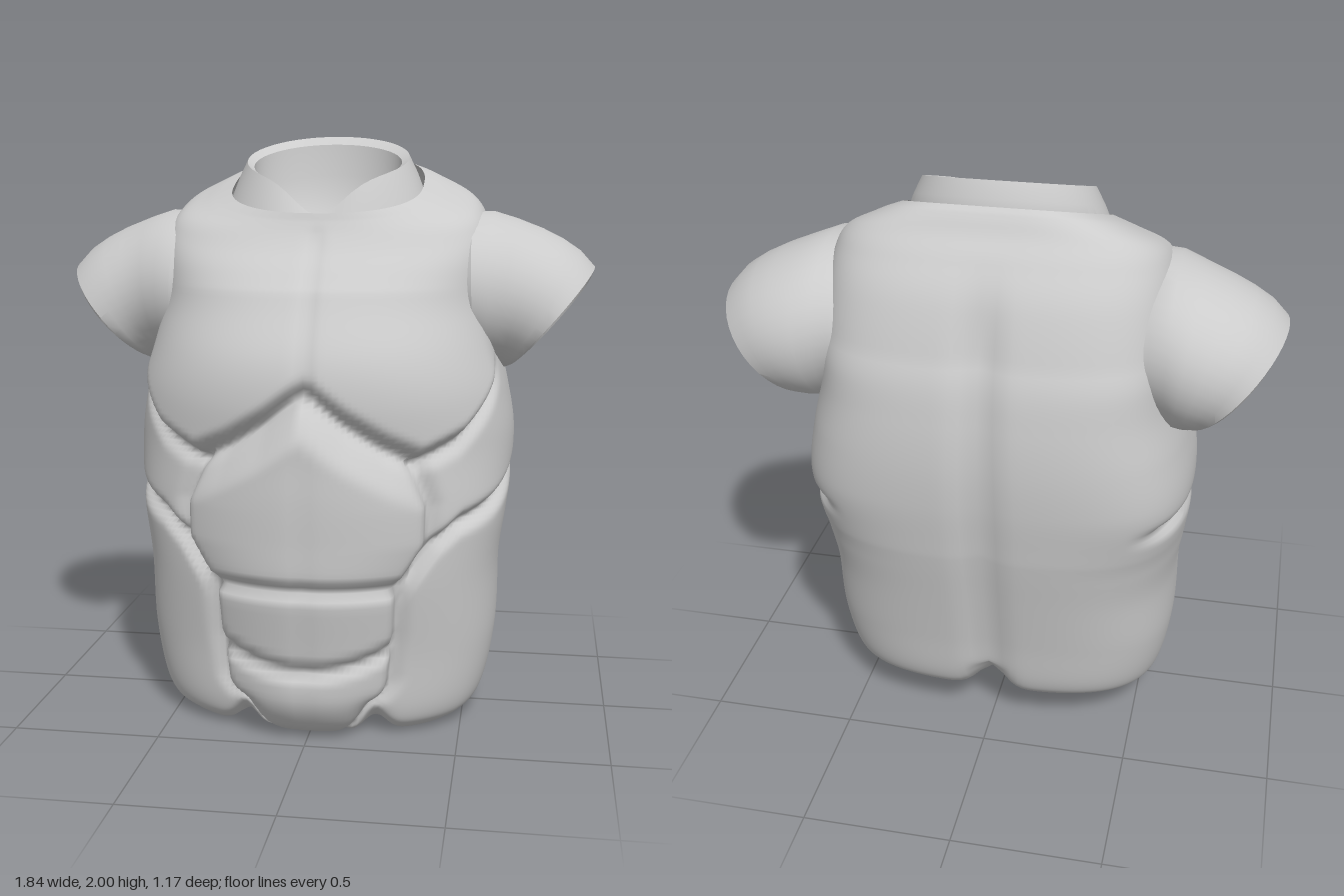
import * as THREE from 'three';
import { toCreasedNormals } from 'three/addons/utils/BufferGeometryUtils.js';

const material = new THREE.MeshStandardMaterial({ color: 0xcccccc, side: THREE.DoubleSide });
const { smoothstep, clamp, lerp } = THREE.MathUtils;
const bell = (d, w) => Math.exp(-((d / w) ** 2));
const spow = (v, e) => Math.sign(v) * Math.abs(v) ** e;

// Piecewise linear lookup in [key, value] pairs
function lookup(table, k) {
  if (k <= table[0][0]) return table[0][1];
  for (let i = 1; i < table.length; i++) {
    const [k0, v0] = table[i - 1], [k1, v1] = table[i];
    if (k <= k1) return lerp(v0, v1, (k - k0) / (k1 - k0));
  }
  return table[table.length - 1][1];
}

// Closed rings joined into a skin; point(row, angle) gives [x, y, z]
function loft(rows, cols, point) {
  const pos = [], index = [];
  for (let r = 0; r < rows; r++) {
    for (let c = 0; c < cols; c++) {
      pos.push(...point(r, (c / cols) * Math.PI * 2));
      if (r === rows - 1) continue;
      const a = r * cols + c, b = r * cols + ((c + 1) % cols);
      index.push(a, b, b + cols, a, b + cols, a + cols);
    }
  }
  const g = new THREE.BufferGeometry();
  g.setAttribute('position', new THREE.Float32BufferAttribute(pos, 3));
  g.setIndex(index);
  g.computeVertexNormals();
  return g;
}

function part(name, geometry) {
  const m = new THREE.Mesh(geometry, material);
  m.name = name;
  return m;
}

// Torso sections: height, half width, front z, back z
const SECTIONS = [
  [0.07, 0, 0.02, 0.02], [0.045, 0.25, 0.2, -0.2], [0.005, 0.42, 0.33, -0.32],
  [0.03, 0.51, 0.39, -0.39], [0.1, 0.57, 0.42, -0.43], [0.3, 0.608, 0.44, -0.465],
  [0.55, 0.613, 0.485, -0.51], [0.72, 0.635, 0.495, -0.54], [0.85, 0.65, 0.5, -0.56],
  [1.0, 0.655, 0.5, -0.58], [1.15, 0.63, 0.51, -0.588], [1.3, 0.595, 0.495, -0.58],
  [1.45, 0.58, 0.43, -0.555], [1.6, 0.57, 0.35, -0.49], [1.69, 0.55, 0.285, -0.42],
  [1.745, 0.51, 0.25, -0.37], [1.785, 0.42, 0.23, -0.342], [1.82, 0.33, 0.215, -0.315],
];
// Muscle borders: angle from the front in degrees against height
const PEC = [[0, 1.2], [14, 1.1], [28, 1.02], [40, 0.97], [55, 1.03], [76, 1.2], [90, 1.3]];
const RIB = [[36, 0.5], [41, 0.61], [47, 0.69], [55, 0.75], [70, 0.79], [90, 0.86], [110, 0.9], [130, 0.9]];
const ABS = [[0, 17], [0.08, 27], [0.2, 35], [0.35, 36], [0.55, 35], [0.7, 44], [0.82, 44], [0.95, 40], [1.2, 36]];

// How far the muscles swell or sink at a point of the torso
function relief(x, y, z) {
  const deg = Math.abs(Math.atan2(x, z)) * 180 / Math.PI;
  const above = y - lookup(PEC, deg);
  const edge = lookup(ABS, y), inside = (edge - deg) * 0.01;
  const belly = smoothstep(inside, -0.015, 0.05) * smoothstep(-above, 0, 0.17) * smoothstep(y, -0.07, 0.18);
  let d = belly * (0.025 + 0.065 * Math.max(0, 1 - (deg / edge) ** 2));
  // chest underside
  const chest = 1 - smoothstep(deg, 70, 85);
  d += chest * (0.028 * smoothstep(above, -0.01, 0.06) * (1 - smoothstep(y, 1.15, 1.5)) - 0.03 * bell(above + 0.01, 0.028));
  // border of the stomach and the rows across it
  if (above < 0) d -= 0.03 * bell(inside, 0.03);
  d -= belly * 0.035 * bell(y - 0.555, 0.02);
  d -= belly * 0.035 * bell(y - 0.265 - 0.07 * (deg / 32) ** 2, 0.022);
  d -= belly * 0.005 * bell(x, 0.025);
  // flank groove, sweeping down to the stomach
  const flank = smoothstep(deg, 35, 42) * (1 - smoothstep(deg, 118, 138));
  d -= flank * 0.038 * bell(y - lookup(RIB, deg), 0.026);
  // breastbone and spine
  if (z > 0) d -= 0.015 * bell(x, 0.022) * smoothstep(above, 0, 0.05);
  else d -= 0.036 * bell(x, 0.06) * (1 - smoothstep(y, 1.5, 1.72));
  return d;
}

function torsoGeometry() {
  const rows = 160;
  const outline = new THREE.SplineCurve(SECTIONS.map((s) => new THREE.Vector2(s[0], s[1])));
  const depth = new THREE.SplineCurve(SECTIONS.map((s) => new THREE.Vector2(s[2], s[3])));
  const rings = Array.from({ length: rows }, (_, r) => {
    const p = outline.getPoint(r / (rows - 1)), q = depth.getPoint(r / (rows - 1));
    return { y: p.x, w: p.y, mid: (q.x + q.y) / 2, half: (q.x - q.y) / 2 };
  });
  return loft(rows, 240, (r, a) => {
    const { y, w, mid, half } = rings[r];
    const e = lerp(0.65, 0.83, (Math.cos(a) + 1) / 2);
    // the chest is widest a little behind the middle
    const lag = 0.06 * Math.sin(a) ** 2 * smoothstep(y, 0.7, 1) * (1 - smoothstep(y, 1.4, 1.7));
    let x = w * spow(Math.sin(a), e), z = mid + half * spow(Math.cos(a), e) - lag;
    const d = relief(x, y, z) * clamp(w / 0.5, 0, 1) ** 2 * (1 - smoothstep(y, 1.7, 1.81));
    const len = Math.hypot(x, z - mid) || 1;
    x += (d * x) / len;
    z += (d * (z - mid)) / len;
    // hem rises to the back and beside the stomach, neckline falls to the front
    const low = 1 - smoothstep(y, 0.04, 0.2);
    const hem = 0.14 * (Math.max(0, 0.25 - z) / 0.67) ** 1.3 * Math.max(0, 1 - y / 0.8);
    const cleft = 0.08 * bell(x, 0.07) * low * (1 - smoothstep(z, 0.1, 0.3));
    const notch = 0.06 * bell(Math.abs(x) - 0.22, 0.05) * low * smoothstep(z, 0.2, 0.35);
    const neck = -0.35 * z * clamp((y - 1.5) / 0.3, 0, 1);
    return [x, Math.max(0, y + hem + cleft + notch + neck), z];
  });
}

// Collar and hollow neck: half width, front z, back z, height, slope, notch depth
const COLLAR = [
  [0.32, 0.22, -0.295, 1.7, 0.33, 0.02], [0.34, 0.245, -0.312, 1.775, 0.33, 0.04],
  [0.31, 0.22, -0.3, 1.85, 0.33, 0.08], [0.28, 0.19, -0.275, 1.91, 0.33, 0.11],
  [0.255, 0.17, -0.235, 1.895, 0.33, 0.12], [0.25, 0.185, -0.225, 1.79, 0.33, 0.05],
  [0.225, 0.165, -0.2, 1.7, 0.25, 0], [0.15, 0.1, -0.13, 1.63, 0.15, 0], [0, -0.01, -0.01, 1.6, 0, 0],
];
const collarGeometry = () => loft(COLLAR.length, 48, (r, a) => {
  const [w, f, b, y, slope, notch] = COLLAR[r];
  const x = w * Math.sin(a), z = (f + b) / 2 + ((f - b) / 2) * Math.cos(a);
  return [x, y - slope * z - (z > 0 ? notch * bell(x, 0.11) : 0), z];
});

// Sleeve rings: top x and y, bottom x and y, front z, back z
const SLEEVE = [
  [0.4, 1.66, 0.42, 1.28, 0.15, -0.4], [0.5, 1.745, 0.52, 1.22, 0.21, -0.43], [0.57, 1.745, 0.555, 1.205, 0.2, -0.45],
  [0.65, 1.72, 0.575, 1.2, 0.17, -0.465], [0.74, 1.685, 0.59, 1.2, 0.155, -0.465], [0.81, 1.65, 0.6, 1.2, 0.15, -0.46],
  [0.87, 1.61, 0.61, 1.2, 0.15, -0.45], [0.92, 1.555, 0.62, 1.205, 0.15, -0.44], [0.91, 1.53, 0.63, 1.21, 0.145, -0.43],
  [0.85, 1.485, 0.635, 1.22, 0.11, -0.4], [0.81, 1.465, 0.615, 1.23, 0.09, -0.38], [0.76, 1.44, 0.6, 1.26, 0.06, -0.34],
  [0.67, 1.36, 0.67, 1.36, -0.13, -0.13],
];
const sleeveGeometry = (side) => loft(SLEEVE.length, 40, (r, a) => {
  const [tx, ty, bx, by, f, b] = SLEEVE[r];
  const k = (Math.cos(a) + 1) / 2;
  return [side * lerp(bx, tx, k), lerp(by, ty, k), (f + b) / 2 + (side * (f - b) * Math.sin(a)) / 2];
});

export function createModel() {
  const group = new THREE.Group();
  group.name = 'muscleTorso';
  group.add(part('torso', torsoGeometry()));
  group.add(part('collar', toCreasedNormals(collarGeometry(), 0.6)));
  for (const side of [1, -1]) {
    group.add(part(side > 0 ? 'leftSleeve' : 'rightSleeve', toCreasedNormals(sleeveGeometry(side), 0.6)));
  }
  return group;
}
